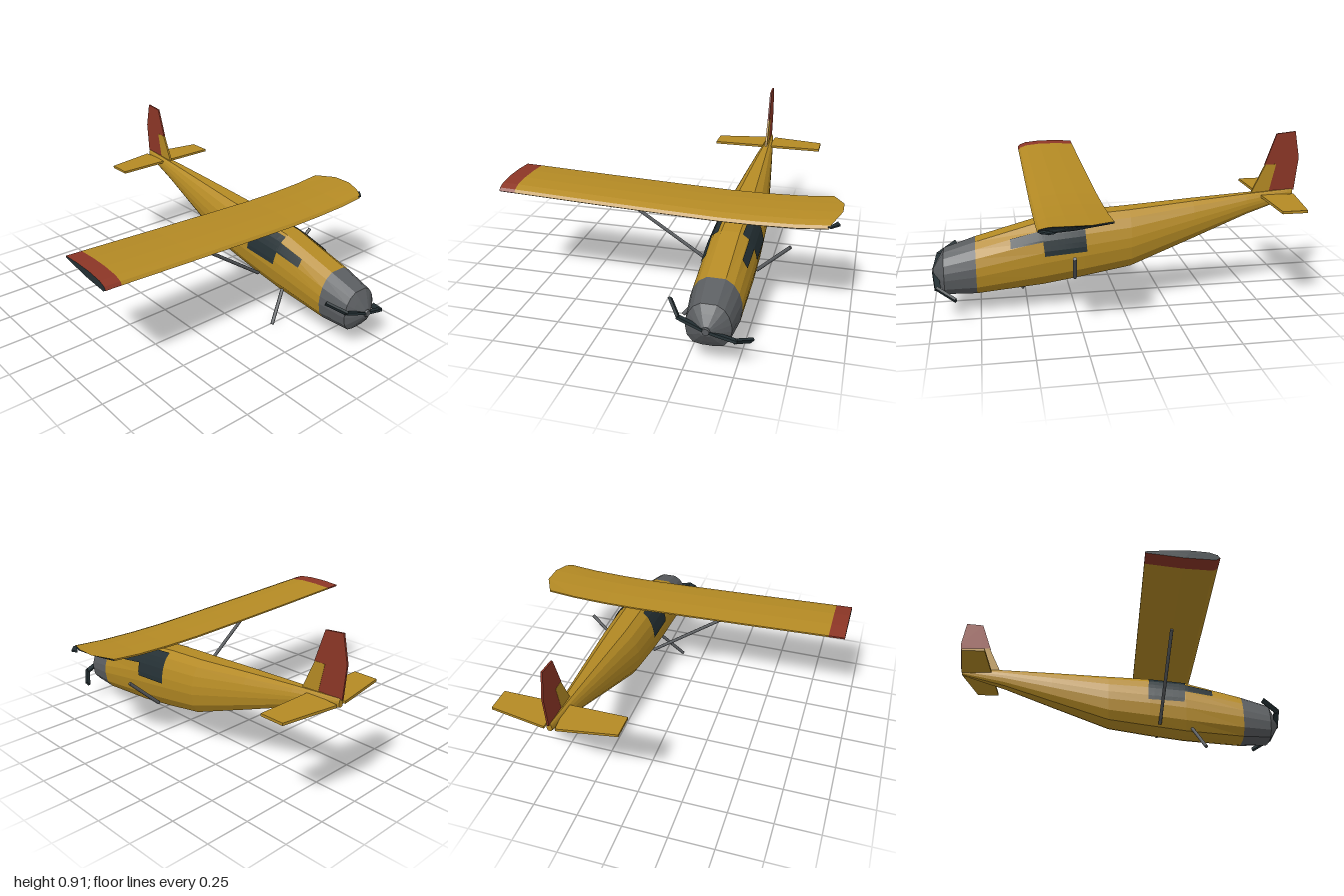
import * as THREE from 'three';

const CX = 0.36; // fuselage axis

const yellow = new THREE.MeshStandardMaterial({ color: 0xb48a24 });
yellow.name = 'yellow paint';
const red = new THREE.MeshStandardMaterial({ color: 0x8c3626 });
red.name = 'red paint';
const grey = new THREE.MeshStandardMaterial({ color: 0x5a5d60 });
grey.name = 'grey metal';
const dark = new THREE.MeshStandardMaterial({ color: 0x243034, side: THREE.DoubleSide });
dark.name = 'dark glass';

// Fuselage stations: z, bottom y, top y, half width
const STATIONS = [
  [0.985, 0.2, 0.25, 0.03], [0.955, 0.15, 0.3, 0.08], [0.93, 0.115, 0.34, 0.115],
  [0.765, 0.112, 0.392, 0.135],
  [0.42, 0.14, 0.485, 0.14], [0.2, 0.172, 0.51, 0.138], [-0.05, 0.213, 0.525, 0.128],
  [-0.4, 0.345, 0.553, 0.087], [-0.7, 0.46, 0.575, 0.05], [-0.97, 0.545, 0.59, 0.014],
];
// Half section from the roof down: width fraction, height fraction
const PROFILE = [
  [0.35, 1], [0.66, 0.9], [0.86, 0.75], [0.97, 0.58], [1, 0.42], [0.92, 0.2], [0.66, 0.04], [0.3, 0],
];

// Flat-shaded geometry from a list of triangle corners
function facets(points) {
  const g = new THREE.BufferGeometry().setFromPoints(points);
  g.computeVertexNormals();
  return g;
}

// Skin through closed rings, with optional end caps
function loft(rings, capStart, capEnd) {
  const out = [];
  const n = rings[0].length;
  for (let i = 0; i < rings.length - 1; i++) {
    for (let j = 0; j < n; j++) {
      const k = (j + 1) % n;
      const a = rings[i][j], b = rings[i][k], c = rings[i + 1][k], d = rings[i + 1][j];
      out.push(a, b, c, a, c, d);
    }
  }
  if (capStart) out.push(...fan(rings[0], true));
  if (capEnd) out.push(...fan(rings[rings.length - 1], false));
  return facets(out);
}

function fan(ring, reverse) {
  const mid = ring.reduce((s, p) => s.add(p), new THREE.Vector3()).divideScalar(ring.length);
  return ring.flatMap((p, j) => {
    const q = ring[(j + 1) % ring.length];
    return reverse ? [mid, q, p] : [mid, p, q];
  });
}

function bodyRing([z, bottom, top, half]) {
  const side = (s) => PROFILE.map(([w, t]) =>
    new THREE.Vector3(CX + s * w * half, bottom + t * (top - bottom), z));
  return [...side(1), ...side(-1).reverse()];
}

// Half width of the fuselage skin at a given height and station
function skin(y, z) {
  const i = STATIONS.findIndex((s) => s[0] <= z);
  const a = STATIONS[i - 1], b = STATIONS[i];
  const f = (z - a[0]) / (b[0] - a[0]);
  const [bottom, top, half] = [1, 2, 3].map((k) => a[k] + f * (b[k] - a[k]));
  const t = Math.min(0.999, (y - bottom) / (top - bottom));
  const j = PROFILE.findIndex((p) => p[1] <= t);
  const p = PROFILE[j - 1], q = PROFILE[j];
  return half * (p[0] + ((t - p[1]) / (q[1] - p[1])) * (q[0] - p[0]));
}

// Window pane laid on the skin; corners are [z, y]: rear low, front low, front high, rear high
function pane(corners, s) {
  const N = 6, out = [];
  const at = (u, v) => {
    const [z, y] = [0, 1].map((k) =>
      (1 - v) * ((1 - u) * corners[0][k] + u * corners[1][k]) +
      v * ((1 - u) * corners[3][k] + u * corners[2][k]));
    return new THREE.Vector3(CX + s * (skin(y, z) + 0.005), y + 0.003, z);
  };
  for (let i = 0; i < N; i++) {
    for (let j = 0; j < N; j++) {
      const a = at(i / N, j / N), b = at((i + 1) / N, j / N);
      const c = at((i + 1) / N, (j + 1) / N), d = at(i / N, (j + 1) / N);
      if (s > 0) out.push(a, c, b, a, d, c);
      else out.push(a, b, c, a, c, d);
    }
  }
  return facets(out);
}

// Wing section, top from trailing to leading edge, then back below: z, height, tip overhang
const AIRFOIL = [
  [0.11, 0.045, 0], [0.22, 0.052, 0.06], [0.33, 0.052, 0.06], [0.42, 0.043, 0.03], [0.46, 0.028, 0.01],
  [0.472, 0.012, 0], [0.45, 0, 0], [0.3, 0.01, 0], [0.11, 0.036, 0],
];
const wingRing = ([x, y], tip = 0) =>
  AIRFOIL.map(([z, h, over]) => new THREE.Vector3(x + tip * over, y + h, z));

// Thin plate from an outline
function plate(points, depth) {
  const shape = new THREE.Shape(points.map(([a, b]) => new THREE.Vector2(a, b)));
  return new THREE.ExtrudeGeometry(shape, { depth, bevelEnabled: false }).translate(0, 0, -depth / 2);
}

// Lays a geometry built along y between two points
function span(mesh, from, to) {
  const a = new THREE.Vector3(...from), b = new THREE.Vector3(...to);
  mesh.position.lerpVectors(a, b, 0.5);
  mesh.quaternion.setFromUnitVectors(new THREE.Vector3(0, 1, 0), b.clone().sub(a).normalize());
  return a.distanceTo(b);
}

export function createModel() {
  const model = new THREE.Group();
  model.name = 'brokenAeroplane';
  const add = (name, geometry, material) => {
    const mesh = new THREE.Mesh(geometry, material);
    mesh.name = name;
    model.add(mesh);
    return mesh;
  };
  const rod = (name, from, to) => {
    const mesh = add(name, undefined, grey);
    mesh.geometry = new THREE.CylinderGeometry(0.01, 0.01, span(mesh, from, to), 8);
  };

  // Body and cowling
  const rings = STATIONS.map(bodyRing);
  add('cowling', loft(rings.slice(0, 4), true, false), grey);
  add('fuselage', loft(rings.slice(3), false, true), yellow);

  // Side windows
  for (const [s, side] of [[1, 'left'], [-1, 'right']]) {
    add(side + 'DoorWindow', pane([[0.19, 0.335], [0.41, 0.32], [0.425, 0.475], [0.2, 0.498]], s), dark);
    add(side + 'FrontWindow', pane([[0.41, 0.395], [0.585, 0.365], [0.585, 0.41], [0.41, 0.45]], s), dark);
  }

  // Wing with painted end and torn tip
  const redRings = [[-0.925, 0.59], [-0.835, 0.587]].map((r) => wingRing(r));
  const mainRings = [[-0.835, 0.587], [-0.4, 0.57], [0, 0.556], [0.3, 0.547], [0.5, 0.547], [0.7, 0.553]]
    .map((r) => wingRing(r));
  const tornRing = wingRing([0.86, 0.567], 1);
  add('wingRedEnd', loft(redRings, false, false), red);
  add('wing', loft([...mainRings, tornRing], false, false), yellow);
  add('wingRightEndFace', facets(fan(redRings[0], true)), dark);
  add('wingTornFace', facets(fan(tornRing, false)), dark);
  const shard = add('wingTornShard', plate([[0.855, 0.468], [0.9, 0.39], [0.915, 0.425], [0.875, 0.468]], 0.009)
    .rotateX(Math.PI / 2), dark);
  shard.position.y = 0.585;

  // Fin and rudder
  const upright = (points, depth) => plate(points, depth).rotateY(-Math.PI / 2).translate(CX, 0, 0);
  add('rudder', upright([[-0.835, 0.585], [-0.87, 0.73], [-0.805, 0.73], [-0.865, 0.9], [-0.97, 0.91],
    [-0.998, 0.765], [-0.98, 0.585]], 0.01), red);
  add('finRoot', upright([[-0.735, 0.575], [-0.81, 0.732], [-0.87, 0.732], [-0.835, 0.575]], 0.012), yellow);

  // Tailplane halves
  for (const [s, side] of [[1, 'left'], [-1, 'right']]) {
    const outline = [[0.01, -0.785], [0.34, -0.785], [0.34, -0.92], [0.03, -0.972]];
    add(side + 'Tailplane', plate(outline.map(([x, z]) => [CX + s * x, z]), 0.014)
      .rotateX(Math.PI / 2).translate(0, 0.56, 0), yellow);
  }

  // Wing struts and the one remaining gear leg
  rod('rightWingStrut', [-0.27, 0.555, 0.295], [0.25, 0.19, 0.26]);
  rod('leftBrokenStrut', [0.66, 0.362, 0.275], [0.48, 0.19, 0.255]);
  rod('gearLeg', [0.13, 0.008, 0.515], [0.26, 0.165, 0.455]);

  // Bent propeller
  const hub = add('propellerHub', new THREE.CylinderGeometry(0.018, 0.032, 0.04, 8).rotateX(Math.PI / 2), grey);
  hub.position.set(CX, 0.225, 0.975);
  for (const [s, side] of [[1, 'left'], [-1, 'right']]) {
    const path = [[0.02, 0.218, 0.978], [0.14, 0.18, 0.962], [0.2, 0.14, 0.875]]
      .map(([x, y, z]) => [CX + s * x, s > 0 ? y : 0.448 - y, z]);
    for (let i = 0; i < 2; i++) {
      const blade = add(side + (i ? 'BladeTip' : 'BladeRoot'), undefined, dark);
      blade.geometry = new THREE.BoxGeometry(0.014, span(blade, path[i], path[i + 1]) + 0.01, 0.03);
    }
  }
  return model;
}
